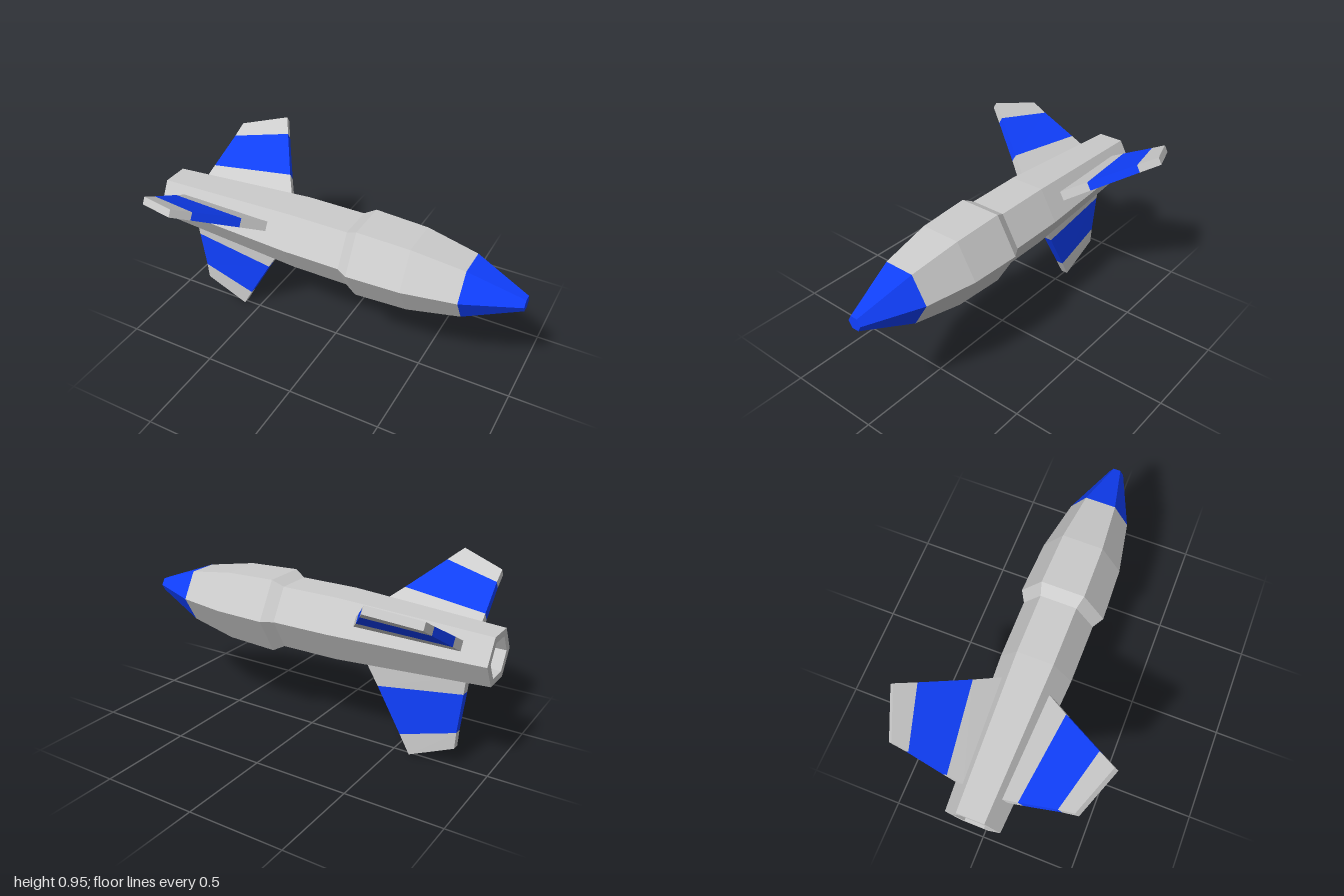
import * as THREE from 'three';

const grey = new THREE.MeshStandardMaterial({ color: 0xcccccc, flatShading: true });
const blue = new THREE.MeshStandardMaterial({ color: 0x1040ff, flatShading: true });

// Six-sided body of revolution along x; profile points are [radius, x]
function hexBody(name, profile, material) {
  const points = profile.map(([r, x]) => new THREE.Vector2(r, x));
  const geometry = new THREE.LatheGeometry(points, 6).toNonIndexed();
  geometry.rotateZ(-Math.PI / 2);
  geometry.computeVertexNormals();
  const mesh = new THREE.Mesh(geometry, material);
  mesh.name = name;
  return mesh;
}

// Fin stations from root to tip: [x, radius] at leading and trailing edge, half thickness
const stations = [
  { lead: [-0.325, 0.15], trail: [-0.865, 0.122], half: 0.025 },
  { lead: [-0.405, 0.285], trail: [-0.857, 0.215], half: 0.0235 },
  { lead: [-0.537, 0.52], trail: [-0.835, 0.425], half: 0.0205 },
  { lead: [-0.592, 0.62], trail: [-0.83, 0.513], half: 0.0195 },
];

// One stripe of a fin: a box whose corners move to two neighbouring stations
function finBand(name, inner, outer, material) {
  const geometry = new THREE.BoxGeometry(1, 1, 1);
  const p = geometry.attributes.position;
  for (let i = 0; i < p.count; i++) {
    const s = p.getY(i) > 0 ? inner : outer;
    const [x, r] = p.getX(i) > 0 ? s.lead : s.trail;
    p.setXYZ(i, x, -r, Math.sign(p.getZ(i)) * s.half);
  }
  geometry.computeVertexNormals();
  const mesh = new THREE.Mesh(geometry, material);
  mesh.name = name;
  return mesh;
}

function makeFin() {
  const fin = new THREE.Group();
  ['finRoot', 'finStripe', 'finTip'].forEach((name, i) =>
    fin.add(finBand(name, stations[i], stations[i + 1], i === 1 ? blue : grey)));
  return fin;
}

export function createModel() {
  const rocket = new THREE.Group();
  rocket.name = 'rocket';

  // Hull, starting inside the tail recess and running to the nose joint
  rocket.add(hexBody('hull', [
    [0.1, -0.94], [0.1, -1], [0.139, -1], [0.187, -0.2], [0.187, 0.11],
    [0.222, 0.17], [0.21, 0.45], [0.158, 0.72],
  ], grey));

  // Blunt nose cone
  rocket.add(hexBody('noseCone', [[0.158, 0.72], [0.038, 1], [0, 1]], blue));

  // Floor of the exhaust recess
  rocket.add(hexBody('exhaust', [[0, -0.94], [0.1, -0.94]], blue));

  // Three fins, one straight down
  for (let i = 0; i < 3; i++) {
    const fin = makeFin();
    fin.name = 'fin' + (i + 1);
    fin.rotation.x = (i * Math.PI * 2) / 3;
    rocket.add(fin);
  }

  rocket.position.y = 0.62;
  const model = new THREE.Group();
  model.add(rocket);
  return model;
}
